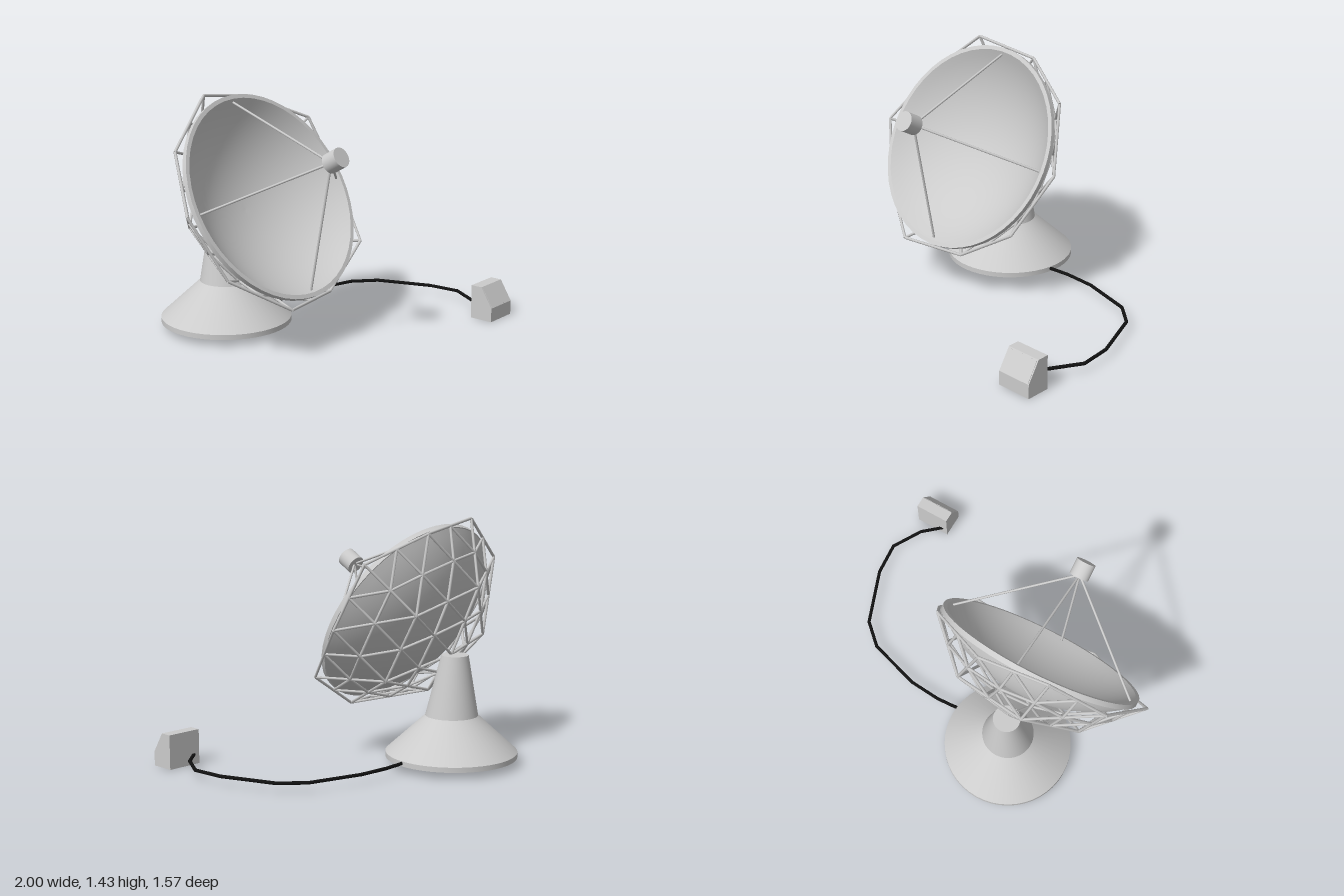
import * as THREE from 'three';
import { mergeGeometries, toCreasedNormals } from 'three/addons/utils/BufferGeometryUtils.js';

const V = (x, y, z) => new THREE.Vector3(x, y, z);
const grey = new THREE.MeshStandardMaterial({ color: 0xcccccc });
const greyThin = new THREE.MeshStandardMaterial({ color: 0xcccccc, side: THREE.DoubleSide });
const black = new THREE.MeshStandardMaterial({ color: 0x111111 });

function add(parent, name, geometry, material = grey) {
  const mesh = new THREE.Mesh(geometry, material);
  mesh.name = name;
  parent.add(mesh);
  return mesh;
}

// Straight bar between two points
function rod(a, b, radius, sides = 6) {
  const dir = b.clone().sub(a);
  const g = new THREE.CylinderGeometry(radius, radius, dir.length(), sides);
  g.applyQuaternion(new THREE.Quaternion().setFromUnitVectors(V(0, 1, 0), dir.normalize()));
  const mid = a.clone().add(b).multiplyScalar(0.5);
  return g.translate(mid.x, mid.y, mid.z);
}

const lathe = (pts, n = 48) =>
  new THREE.LatheGeometry(pts.map(([r, y]) => new THREE.Vector2(r, y)), n);

// Arc of a spherical bowl from its lowest point up to the rim
function bowlArc(rim, rimY, bottomY, steps = 14) {
  const h = rimY - bottomY;
  const R = (rim * rim + h * h) / (2 * h);
  const end = Math.asin(rim / R);
  return Array.from({ length: steps + 1 }, (_, i) => {
    const a = (end * i) / steps;
    return [R * Math.sin(a), bottomY + R * (1 - Math.cos(a))];
  });
}

// Geodesic cap: five icosahedron faces, split once on the sphere and once flat
function geodesicBars(R, centreY, radius) {
  const split = (tris, project) => tris.flatMap(([a, b, c]) => {
    const mid = (p, q) => {
      const m = p.clone().add(q).multiplyScalar(0.5);
      return project ? m.setLength(R) : m;
    };
    const ab = mid(a, b), bc = mid(b, c), ca = mid(c, a);
    return [[a, ab, ca], [ab, b, bc], [ca, bc, c], [ab, bc, ca]];
  });
  const ring = (k) => {
    const phi = ((36 + 72 * k) * Math.PI) / 180;
    const s = R * 0.8944;
    return V(s * Math.cos(phi), -R * 0.4472, -s * Math.sin(phi));
  };
  let tris = [];
  for (let k = 0; k < 5; k++) tris.push([V(0, -R, 0), ring(k), ring(k + 1)]);
  tris = split(split(tris, true), false);

  const seen = new Set();
  const bars = [];
  const key = (p) => p.toArray().map((v) => Math.round(v * 1000)).join(',');
  for (const t of tris) {
    for (let i = 0; i < 3; i++) {
      const a = t[i], b = t[(i + 1) % 3];
      const id = [key(a), key(b)].sort().join('|');
      if (seen.has(id)) continue;
      seen.add(id);
      bars.push(rod(a, b, radius));
    }
  }
  return mergeGeometries(bars).translate(0, centreY, 0);
}

function createDish() {
  const dish = new THREE.Group();
  dish.name = 'dish';

  // Bowl shell and its flat rim band
  add(dish, 'bowlInside', lathe(bowlArc(0.598, 0, -0.25)), greyThin);
  add(dish, 'bowlOutside', lathe(bowlArc(0.615, -0.03, -0.265)), greyThin);
  add(dish, 'rim', toCreasedNormals(
    lathe([[0.615, -0.03], [0.622, -0.03], [0.622, 0], [0.598, 0]]), 0.6), greyThin);

  // Triangulated support frame behind the bowl
  add(dish, 'supportFrame', geodesicBars(0.765, 0.335, 0.0085));

  // Receiver on four arms
  add(dish, 'receiver', new THREE.CylinderGeometry(0.058, 0.058, 0.095, 32)).position.y = 0.52;
  const arms = [0, 1, 2, 3].map((i) => {
    const a = (i * Math.PI) / 2;
    return rod(V(0, 0.485, 0), V(0.58 * Math.cos(a), -0.015, 0.58 * Math.sin(a)), 0.007, 8);
  });
  add(dish, 'receiverArms', mergeGeometries(arms));

  dish.position.set(-0.31, 0.86, -0.02);
  dish.rotation.x = Math.PI / 3;
  return dish;
}

function createPedestal() {
  // Flared foot with a tapering column that leans back slightly
  let g = lathe([[0, 0.04], [0.388, 0.04], [0.388, 0.07], [0.155, 0.285], [0.08, 0.645], [0, 0.645]]);
  const p = g.attributes.position;
  for (let i = 0; i < p.count; i++) {
    if (p.getY(i) > 0.6) p.setZ(i, p.getZ(i) - 0.02);
  }
  g = toCreasedNormals(g, 0.4);
  const mesh = new THREE.Mesh(g, grey);
  mesh.name = 'pedestal';
  mesh.position.set(-0.31, 0, -0.4);
  return mesh;
}

function createControlBox() {
  const box = new THREE.Group();
  box.name = 'controlBox';
  // Side profile with a sloping front, extruded across the width
  const profile = new THREE.Shape(
    [[-0.785, 0], [-0.64, 0], [-0.64, 0.205], [-0.71, 0.205], [-0.785, 0.085]]
      .map(([x, y]) => new THREE.Vector2(x, y)));
  const body = new THREE.ExtrudeGeometry(profile, { depth: 0.215, bevelEnabled: false });
  add(box, 'housing', body.rotateY(Math.PI / 2).translate(0.745, 0, 0));

  // Thin panel on the slope
  const panel = add(box, 'panel', new THREE.BoxGeometry(0.2, 0.126, 0.004));
  panel.position.set(0.8525, 0.145, 0.7475);
  panel.rotation.x = -Math.atan2(0.075, 0.12);
  return box;
}

function createCable() {
  const path = [[0.05, -0.355], [0.1, -0.362], [0.21, -0.37], [0.4, -0.358], [0.72, -0.267],
    [0.85, -0.15], [0.973, 0.176], [0.989, 0.374], [0.888, 0.55], [0.775, 0.65]]
    .map(([x, z]) => V(x, 0.057, z));
  const parts = [];
  path.forEach((p, i) => {
    parts.push(new THREE.SphereGeometry(0.01, 10, 8).translate(p.x, p.y, p.z));
    if (i) parts.push(rod(path[i - 1], p, 0.01, 10));
  });
  const mesh = new THREE.Mesh(mergeGeometries(parts), black);
  mesh.name = 'cable';
  return mesh;
}

export function createModel() {
  const model = new THREE.Group();
  model.name = 'satelliteDish';
  model.add(createDish(), createPedestal(), createControlBox(), createCable());
  return model;
}
